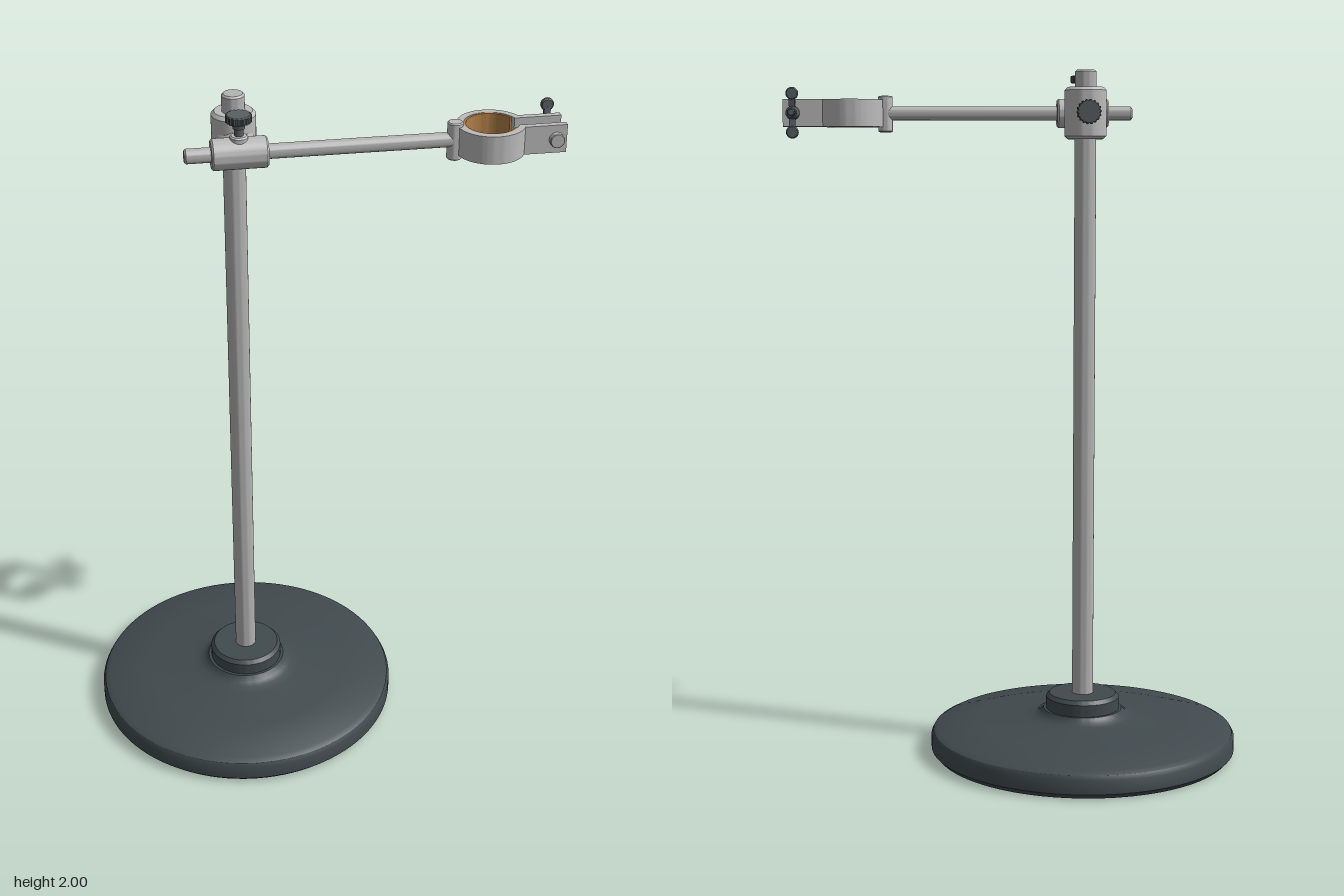
import * as THREE from 'three';
import { toCreasedNormals } from 'three/addons/utils/BufferGeometryUtils.js';

const POST_X = -0.21, ARM_Y = 1.88, ARM_Z = 0.115, RING_X = 0.46, BOLT_X = 0.628;

const mat = (name, color) => {
  const m = new THREE.MeshStandardMaterial({ color });
  m.name = name;
  return m;
};

export function createModel() {
  const group = new THREE.Group();
  const iron = mat('darkIron', 0x414a4e);
  const steel = mat('steel', 0xb4b4b4);
  const cast = mat('castMetal', 0xbcbcbc);
  const dark = mat('darkHardware', 0x596064);
  const cork = mat('cork', 0xb08048);

  const add = (name, geo, material, x = 0, y = 0, z = 0, parent = group) => {
    const mesh = new THREE.Mesh(geo, material);
    mesh.name = name;
    mesh.position.set(x, y, z);
    parent.add(mesh);
    return mesh;
  };
  // Turned part about y, from [radius, height] pairs, bottom to top
  const turned = (points, segments = 40) => toCreasedNormals(
    new THREE.LatheGeometry(points.map(p => new THREE.Vector2(...p)), segments), 0.5);
  // Rod along y with small chamfers, centred
  const rod = (r, h, c = 0.005, segments = 32) => turned([
    [0, -h / 2], [r - c, -h / 2], [r, -h / 2 + c], [r, h / 2 - c], [r - c, h / 2], [0, h / 2]], segments);
  const extrude = (shape, depth, bevel = 0) => toCreasedNormals(new THREE.ExtrudeGeometry(shape, {
    depth, curveSegments: 40, bevelEnabled: bevel > 0, bevelSize: bevel, bevelThickness: bevel,
    bevelOffset: -bevel, bevelSegments: 1 }), 0.5);

  // Round weighted foot with a raised socket
  add('base', turned([
    [0, 0], [0.436, 0], [0.45, 0.015], [0.45, 0.055], [0.443, 0.068], [0.428, 0.076],
    [0.3, 0.091], [0.17, 0.105], [0.145, 0.109], [0.13, 0.115], [0.12, 0.124],
    [0.116, 0.13], [0.108, 0.13], [0.108, 0.165], [0.098, 0.176], [0, 0.176]], 96), iron, POST_X);
  add('post', rod(0.031, 1.85), steel, POST_X, 1.075, 0);

  // Cross clamp joining post and arm
  add('postSleeve', rod(0.06, 0.147, 0.009, 40), cast, POST_X, 1.8785, 0);
  add('armSleeve', rod(0.042, 0.15, 0.005, 40), cast, POST_X, ARM_Y, ARM_Z).rotation.z = Math.PI / 2;
  add('clampNeck', turned([[0.05, 0.04], [0.036, 0.055], [0.032, 0.066], [0.04, 0.09]]), cast, POST_X, ARM_Y, 0)
    .rotation.x = Math.PI / 2;
  add('arm', rod(0.02, 0.715), steel, 0.0025, ARM_Y, ARM_Z).rotation.z = Math.PI / 2;

  // Thumb screws with knurled heads, built pointing up
  const thumbScrew = (name) => {
    const screw = new THREE.Group();
    screw.name = name;
    add('screwBoss', rod(0.024, 0.045, 0.004), cast, 0, 0.0275, 0, screw);
    add('screwShaft', rod(0.012, 0.06, 0.002, 20), dark, 0, 0.063, 0, screw);
    add('screwHub', turned([[0, 0.07], [0.016, 0.07], [0.018, 0.085], [0.026, 0.09], [0, 0.09]]), dark, 0, 0, 0, screw);
    const pts = [];
    for (let i = 0; i < 72; i++) {
      const a = i / 72 * Math.PI * 2, r = i % 4 < 2 ? 0.035 : 0.032;
      pts.push(new THREE.Vector2(Math.cos(a) * r, Math.sin(a) * r));
    }
    const head = extrude(new THREE.Shape(pts), 0.017, 0.002);
    add('screwHead', head.rotateX(-Math.PI / 2), dark, 0, 0.089, 0, screw);
    group.add(screw);
    return screw;
  };
  thumbScrew('armScrew').position.set(POST_X, ARM_Y, ARM_Z);
  const back = thumbScrew('postScrew');
  back.position.set(POST_X, ARM_Y, -0.026);
  back.rotation.x = -Math.PI / 2;

  // Split ring with two lugs; outline drawn flat, then laid horizontal
  const R = 0.092, r = 0.073, outer = 0.041, inner = 0.023;
  const a1 = Math.asin(outer / R), a2 = Math.asin(inner / r);
  const ring = new THREE.Shape();
  ring.moveTo(0.197, inner);
  ring.lineTo(0.197, outer);
  ring.lineTo(Math.cos(a1) * R, outer);
  ring.absarc(0, 0, R, a1, -a1, false);
  ring.lineTo(0.197, -outer);
  ring.lineTo(0.197, -inner);
  ring.lineTo(Math.cos(a2) * r, -inner);
  ring.absarc(0, 0, r, -a2, a2, true);
  ring.closePath();
  add('ringClamp', extrude(ring, 0.078).rotateX(-Math.PI / 2), cast, RING_X, 1.841, ARM_Z);
  add('ringKnuckle', rod(0.021, 0.104, 0.003), cast, 0.363, 1.878, ARM_Z);

  // Cork lining inside the ring
  const liner = new THREE.Shape();
  const gap = 0.5;
  liner.absarc(0, 0, r + 0.001, gap, -gap, false);
  liner.absarc(0, 0, 0.067, -gap, gap, true);
  liner.closePath();
  add('corkLiner', extrude(liner, 0.076).rotateX(-Math.PI / 2), cork, RING_X, 1.842, ARM_Z);

  // Clamping bolt through the lugs, with thread ridges
  const thread = [[0, 0]];
  for (let i = 0; i < 18; i++) {
    const y = i * 0.009;
    thread.push([0.008, y], [0.011, y + 0.0045]);
  }
  thread.push([0.008, 0.162], [0, 0.162]);
  add('boltShaft', turned(thread, 20), dark, BOLT_X, ARM_Y, 0.004).rotation.x = Math.PI / 2;
  add('boltHead', rod(0.02, 0.018, 0.002, 32), steel, BOLT_X, ARM_Y, 0.164).rotation.x = Math.PI / 2;

  // Wing nut behind the rear lug
  const nut = new THREE.Group();
  nut.name = 'wingNut';
  nut.position.set(BOLT_X, ARM_Y, 0);
  group.add(nut);
  add('nutHub', turned([[0, 0.04], [0.014, 0.04], [0.019, 0.05], [0.02, 0.074], [0, 0.074]]), dark, 0, 0, 0, nut)
    .rotation.x = Math.PI / 2;
  for (const s of [-1, 1]) {
    add('wing', rod(0.018, 0.013, 0.003), dark, 0, s * 0.055, 0.05, nut).rotation.x = Math.PI / 2;
    add('wingStem', new THREE.BoxGeometry(0.018, 0.04, 0.012), dark, 0, s * 0.028, 0.053, nut)
      .rotation.x = -s * 0.12;
  }
  return group;
}
